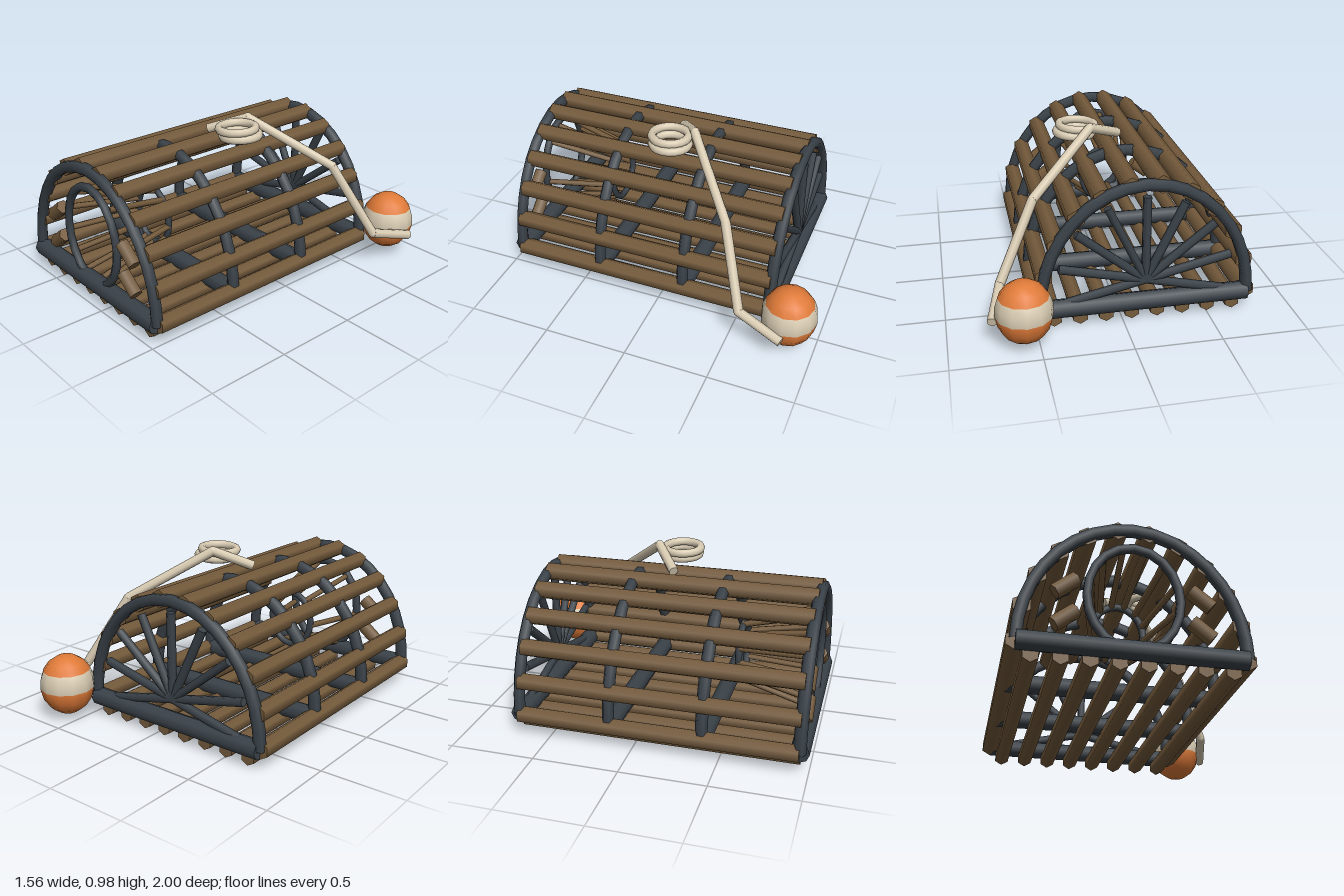
import * as THREE from 'three';

const mat = (name, color) => {
  const m = new THREE.MeshStandardMaterial({ color });
  m.name = name;
  return m;
};

export function createModel() {
  const wood = mat('brown wood', 0x755b3c);
  const frame = mat('dark slate', 0x3a4249);
  const rope = mat('beige rope', 0xd9ccb3);
  const orange = mat('buoy orange', 0xe07b39);

  const root = new THREE.Group();
  root.name = 'lobsterTrap';
  const V = (x, y, z) => new THREE.Vector3(x, y, z);
  const group = (name) => {
    const g = new THREE.Group();
    g.name = name;
    root.add(g);
    return g;
  };
  const add = (parent, name, geometry, material) => {
    const m = new THREE.Mesh(geometry, material);
    m.name = name;
    parent.add(m);
    return m;
  };
  // straight rod between two points
  const rod = (parent, name, a, b, r, material, sides = 6) => {
    const d = b.clone().sub(a);
    const m = add(parent, name, new THREE.CylinderGeometry(r, r, d.length(), sides), material);
    m.position.copy(a).add(b).multiplyScalar(0.5);
    m.quaternion.setFromUnitVectors(V(0, 1, 0), d.normalize());
    return m;
  };

  const CX = -0.13, BASE = 0.115, W = 0.605, H = 0.715;
  const FRONT = 0.945, BACK = -0.69;
  const onEllipse = (cy, rx, ry, a, z) => V(CX + rx * Math.cos(a), cy + ry * Math.sin(a), z);
  class EllipseArc extends THREE.Curve {
    constructor(cy, rx, ry, end, z) {
      super();
      Object.assign(this, { cy, rx, ry, end, z });
    }
    getPoint(t, target = V(0, 0, 0)) {
      return target.copy(onEllipse(this.cy, this.rx, this.ry, this.end * t, this.z));
    }
  }

  // four bent hoops, each on a base beam
  const hoops = group('hoops');
  for (let i = 0; i < 4; i++) {
    const z = FRONT + (BACK - FRONT) * i / 3;
    const arc = new EllipseArc(BASE, W, H, Math.PI, z);
    add(hoops, 'hoop', new THREE.TubeGeometry(arc, 18, 0.036, 6), frame);
    rod(hoops, 'baseBeam', V(CX - W, BASE, z), V(CX + W, BASE, z), 0.055, frame, 8);
  }

  // lengthwise slats over the arch and under the floor
  const slats = group('slats');
  for (let i = 0; i < 12; i++) {
    const a = Math.PI * i / 11;
    rod(slats, 'archSlat', onEllipse(BASE, W, H, a, BACK), onEllipse(BASE, W, H, a, FRONT), 0.054, wood);
  }
  for (let i = 0; i < 8; i++) {
    const x = CX + (i - 3.5) * 0.15;
    rod(slats, 'floorSlat', V(x, 0.047, BACK), V(x, 0.047, FRONT), 0.047, wood);
  }

  // fan of spokes closing the back
  const fan = group('backFan');
  const hub = V(CX, 0.25, BACK);
  for (let i = 0; i < 9; i++) {
    const a = Math.PI * (i - 0.5) / 7;
    rod(fan, 'spoke', hub, onEllipse(0.25, 0.51, 0.51, a, BACK), 0.026, frame);
  }

  // entrance funnel: two rings joined by tapering slats
  const funnel = group('entranceFunnel');
  const INNER = 0.51;
  const ring = (name, rx, ry, z, r) => add(funnel, name,
    new THREE.TubeGeometry(new EllipseArc(0.415, rx, ry, Math.PI * 2, z), 20, r, 6, true), frame);
  ring('outerRing', 0.25, 0.305, FRONT, 0.026);
  ring('innerRing', 0.15, 0.18, INNER, 0.021);
  for (let i = 0; i < 13; i++) {
    const a = -Math.PI / 2 + i * Math.PI * 2 / 13;
    rod(funnel, 'funnelSlat', onEllipse(0.415, 0.245, 0.295, a, FRONT - 0.02),
      onEllipse(0.415, 0.15, 0.18, a, INNER), 0.019, wood);
  }

  // short blocks beside the entrance
  for (const s of [-1, 1]) {
    for (const y of [0.45, 0.265]) {
      rod(funnel, 'sideBlock', V(CX + s * 0.305, y + 0.045, FRONT), V(CX + s * 0.42, y - 0.045, FRONT), 0.042, wood);
    }
  }

  // rope from the roof down to the buoy
  const line = group('rope');
  const path = [V(-0.13, 0.865, 0.075), V(0.07, 0.955, -0.07), V(0.465, 0.67, -0.405),
    V(0.685, 0.24, -0.57), V(0.755, 0.165, -0.84)];
  for (let i = 0; i < path.length - 1; i++) {
    rod(line, 'ropeSpan', path[i], path[i + 1], 0.029, rope, 8);
    if (i) add(line, 'ropeBend', new THREE.SphereGeometry(0.029, 8, 6), rope).position.copy(path[i]);
  }

  // coil resting on the roof
  const coil = group('ropeCoil');
  for (const [x, y, z] of [[0.145, 0.895, 0.055], [0.125, 0.935, 0.065]]) {
    const loop = add(coil, 'coilLoop', new THREE.TorusGeometry(0.108, 0.026, 8, 20), rope);
    loop.rotation.set(Math.PI / 2, 0.05, 0);
    loop.position.set(x, y, z);
  }

  // striped buoy, split into bands by polar angle
  const buoy = group('buoy');
  buoy.position.set(0.58, 0.213, -0.838);
  buoy.scale.set(0.163, 0.185, 0.163);
  const band = (name, from, to, rows, material) => add(buoy, name, new THREE.SphereGeometry(
    1, 12, rows, 0, Math.PI * 2, from * Math.PI / 180, (to - from) * Math.PI / 180), material);
  band('buoyTop', 0, 60, 3, orange);
  band('buoyStripe', 60, 95, 2, rope);
  band('buoyBottom', 95, 180, 4, orange);

  return root;
}
